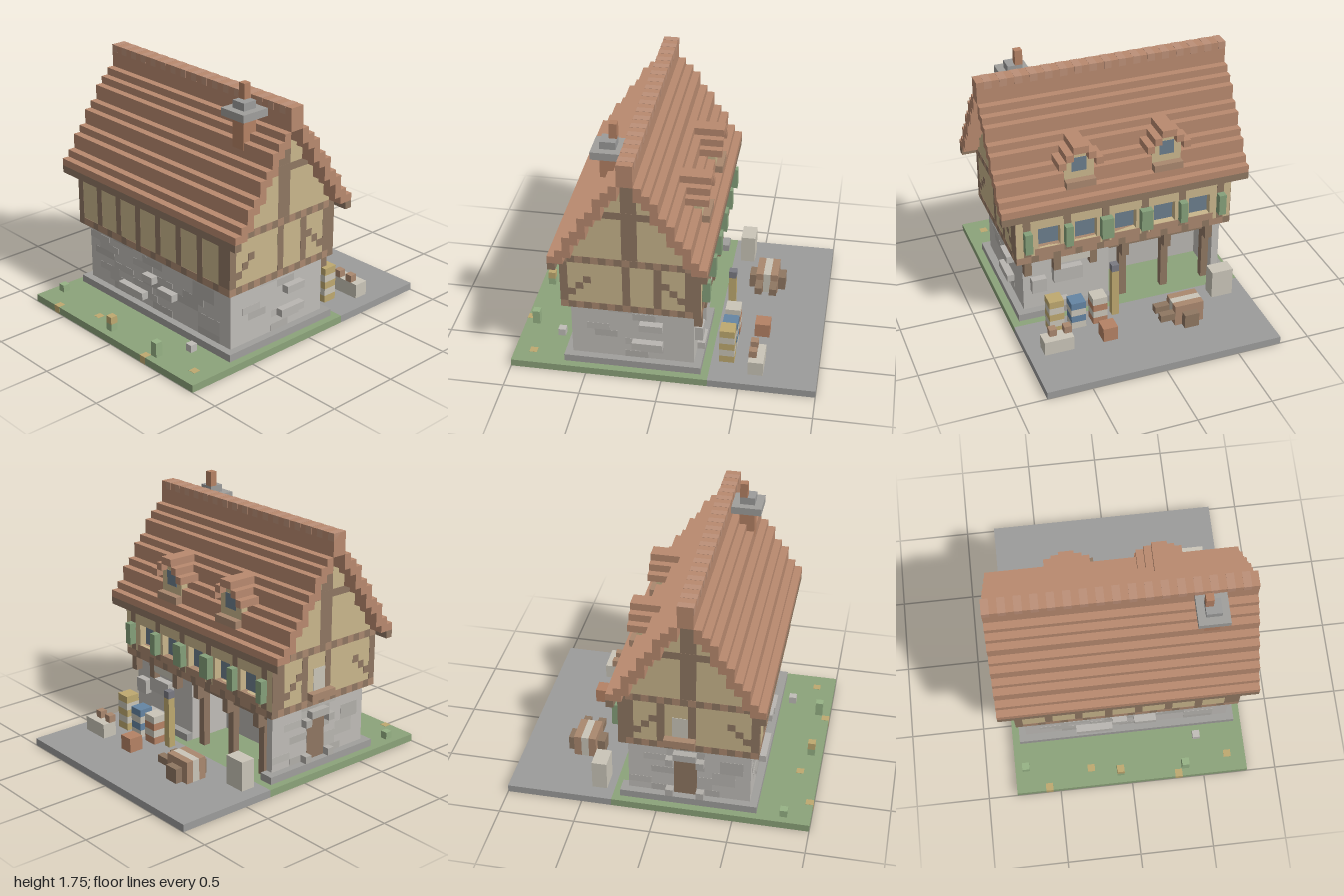
import * as THREE from 'three';

const C = {
  roof: 0xb98a6f, roofAlt: 0xbc9078, plaster: 0xc9b68c, beam: 0x8f7762, beamAlt: 0xaa886f,
  stone: 0xc0bdb8, stoneDark: 0xb2afaa, stoneMid: 0xb9b6b1, plinth: 0xa09f9c, paving: 0x9c9c9b,
  grass: 0x8ca37a, shutter: 0x85a07a, cream: 0xcac5b8, blue: 0x6585a3, ochre: 0xbea970,
  clay: 0xb58265, glass: 0x6b7d8c, iron: 0x7a7a82, leaf: 0x96b285
};
const mats = {};
const mat = c => (mats[c] ??= new THREE.MeshStandardMaterial({ color: C[c], flatShading: true, side: THREE.DoubleSide }));

export function createModel() {
  const root = new THREE.Group();
  root.name = 'cottage';
  let group = root;
  const part = name => {
    group = new THREE.Group();
    group.name = name;
    root.add(group);
  };
  // Axis-aligned block given by its limits; omit lists open faces (+x -x +y -y +z -z = 0..5)
  const box = (name, c, x0, x1, y0, y1, z0, z1, omit = []) => {
    const g = new THREE.BoxGeometry(x1 - x0, y1 - y0, z1 - z0);
    g.setIndex([...g.index.array].filter((_, i) => !omit.includes(Math.floor(i / 6))));
    g.clearGroups();
    const m = new THREE.Mesh(g, mat(c));
    m.position.set((x0 + x1) / 2, (y0 + y1) / 2, (z0 + z1) / 2);
    m.name = name;
    group.add(m);
  };
  let seed = 7;
  const rnd = () => (seed = (seed * 16807) % 2147483647) / 2147483647;
  const e = 0.0015; // thickness of flush surface patches

  // Ground: a shallow shell, open beneath the hollow house
  part('ground');
  box('paving', 'paving', -0.8, 0.8, 0, 0.05, -1, -0.3, [3, 4]);
  box('lawnFront', 'grass', -0.8, 0.8, 0, 0.05, 0.65, 1, [3, 5]);
  box('lawnBack', 'grass', -0.8, 0.8, 0, 0.05, -0.3, -0.25, [3, 4, 5]);
  box('passageFloor', 'grass', -0.65, 0.1, 0, 0.05, -0.25, 0.1, [0, 1, 3, 4, 5]);
  box('lawnLeft', 'grass', 0.75, 0.8, 0, 0.05, -0.25, 0.65, [1, 3, 4, 5]);
  box('lawnRight', 'grass', -0.8, -0.75, 0, 0.05, -0.25, 0.65, [0, 3, 4, 5]);
  for (const [x, z] of [[-0.6, 0.95], [-0.3, 0.85], [0.3, 0.95], [0.65, 0.85]])
    box('flowerPatch', 'ochre', x, x + 0.05, 0, 0.05 + e, z, z + 0.05 + (z > 0.9 ? e : 0), [3]);
  box('flowerStem', 'leaf', -0.1, -0.05, 0.05, 0.1, 0.9, 0.95);
  box('flowerHead', 'ochre', -0.1, -0.05, 0.1, 0.15, 0.9, 0.95);
  box('bush', 'leaf', 0.35, 0.4, 0.05, 0.15, 0.9, 0.95);
  box('bush', 'leaf', -0.75, -0.7, 0.05, 0.1, 0.8, 0.85);
  box('pebble', 'stone', 0.45, 0.5, 0.05, 0.1, 0.7, 0.75);

  // Stone ground floor with a recessed passage at the back
  part('groundFloor');
  box('frontWall', 'stone', -0.7, 0.7, 0.05, 0.5, 0.59, 0.6);
  for (const s of [-1, 1]) box('sideWall', 'stone', s * 0.695 - 0.005, s * 0.695 + 0.005, 0.05, 0.5, -0.2, 0.59);
  box('backWall', 'stone', 0.1, 0.69, 0.05, 0.5, -0.2, -0.19);
  box('backWallEnd', 'stone', -0.69, -0.65, 0.05, 0.5, -0.2, -0.19);
  box('passageSide', 'stone', 0.1, 0.11, 0.05, 0.5, -0.19, 0.1);
  box('passageSide', 'stone', -0.66, -0.65, 0.05, 0.5, -0.19, 0.1);
  box('passageBack', 'stoneMid', -0.65, 0.1, 0.05, 0.5, 0.1, 0.11);
  box('plinthFront', 'plinth', -0.75, 0.75, 0.05, 0.1, 0.6, 0.65, [3, 5]);
  box('plinthLeft', 'plinth', 0.7, 0.75, 0.05, 0.1, -0.25, 0.6, [1, 3, 4]);
  box('plinthRight', 'plinth', -0.75, -0.7, 0.05, 0.1, -0.25, 0.6, [0, 3, 4]);
  box('plinthBack', 'plinth', 0.1, 0.7, 0.05, 0.1, -0.25, -0.2, [3, 4]);
  box('plinthBack', 'plinth', -0.7, -0.65, 0.05, 0.1, -0.25, -0.2, [3, 4]);
  // Toned stones in the masonry
  for (let y = 0.1; y < 0.49; y += 0.05)
    for (let i = 0; i < 3; i++) {
      const c = rnd() < 0.5 ? 'stoneDark' : 'stoneMid';
      const x = -0.7 + 0.45 * i + 0.05 * Math.floor(rnd() * 6), z = -0.2 + 0.05 * Math.floor(rnd() * 13);
      box('tonedStone', c, x, x + 0.2, y, y + 0.05, 0.595, 0.6 + e);
      const s = i % 2 ? 1 : -1;
      box('tonedStone', c, s * 0.7 - e, s * 0.7 + e, y, y + 0.05, z, z + 0.15);
    }
  // Raised stones
  for (const [x0, x1, y] of [[-0.1, 0, 0.3], [0.05, 0.2, 0.25], [-0.35, -0.1, 0.15]])
    box('raisedStone', 'stoneMid', x0, x1, y, y + 0.05, 0.6, 0.65);
  box('raisedStone', 'stoneMid', 0.7, 0.75, 0.35, 0.4, 0, 0.15);
  box('raisedStone', 'stoneMid', 0.7, 0.75, 0.2, 0.25, 0, 0.2);
  box('raisedStone', 'stoneMid', 0.3, 0.5, 0.3, 0.4, -0.25, -0.2);
  box('raisedStone', 'stoneMid', 0.55, 0.65, 0.25, 0.35, -0.25, -0.2);
  box('raisedStone', 'stoneMid', 0.4, 0.55, 0.1, 0.15, -0.25, -0.2);
  // Side door with stone surround
  box('sideDoor', 'beam', -0.703, -0.69, 0.1, 0.4, 0.1, 0.25);
  box('doorLintel', 'stoneDark', -0.75, -0.7, 0.4, 0.45, 0.1, 0.25);
  for (const z of [0.05, 0.25]) {
    box('doorShoulder', 'stoneDark', -0.75, -0.7, 0.35, 0.4, z, z + 0.05);
    box('doorFoot', 'stoneDark', -0.75, -0.7, 0.1, 0.15, z, z + 0.05);
  }
  // Timber posts and brackets of the passage
  box('passageBeam', 'beam', -0.65, 0.1, 0.45, 0.5, -0.2, -0.15);
  for (const x of [0, -0.3, -0.6]) {
    box('passagePost', 'beam', x - 0.025, x + 0.025, 0.05, 0.5, -0.2, -0.15);
    box('bracket', 'beam', x - 0.025, x + 0.025, 0.4, 0.5, -0.25, -0.2);
  }
  for (const x of [0.2, 0.45, 0.65]) box('bracket', 'beam', x, x + 0.05, 0.4, 0.5, -0.25, -0.2);
  box('shopLintel', 'cream', 0.25, 0.45, 0.45, 0.5, -0.25, -0.2);

  // Half-timbered upper floor
  part('upperFloor');
  box('plasterBody', 'plaster', -0.75, 0.75, 0.5, 0.9, -0.2, 0.65, [2]);
  for (let i = 0; i < 8; i++)
    box('frontPost', 'beam', -0.75 + 0.2 * i, -0.7 + 0.2 * i, 0.55, 0.85, 0.64, 0.65 + e);
  box('cornerPost', 'beam', 0.7, 0.75, 0.55, 0.85, 0.6, 0.65 + e);
  for (let i = 0; i < 30; i++) {
    const x = -0.75 + 0.05 * i;
    box('frontSill', i % 3 ? 'beamAlt' : 'beam', x, x + 0.05, 0.5, 0.55, 0.64, 0.65 + e);
    box('backSill', i % 3 ? 'beamAlt' : 'beam', x, x + 0.05, 0.5, 0.55, -0.25 - e, -0.2);
  }
  for (const s of [-1, 1]) {
    const side = (name, c, y0, y1, z0, z1) =>
      box(name, c, s * 0.75 - e, s * 0.75 + e, y0, y1, z0, z1);
    for (let i = 0; i < 18; i++) {
      const z = -0.25 + 0.05 * i;
      for (const y of [0.5, 0.85]) side('sideRail', i % 2 ? 'beamAlt' : 'beam', y, y + 0.05, z, z + 0.05);
    }
    for (const [z0, z1] of [[0.6, 0.65], [0.2, 0.25], [0, 0.05], [-0.25, -0.15]]) side('sidePost', 'beam', 0.55, 0.85, z0, z1);
    for (let i = 0; i < 3; i++) {
      side('brace', 'beam', 0.6 + 0.05 * i, 0.65 + 0.05 * i, 0.55 - 0.05 * i, 0.6 - 0.05 * i);
      side('brace', 'beam', 0.6 + 0.05 * i, 0.65 + 0.05 * i, -0.15 + 0.05 * i, -0.1 + 0.05 * i);
    }
  }
  // Pale window and sill box on the right end
  box('endWindow', 'cream', -0.753, -0.74, 0.6, 0.75, 0.1, 0.2);
  box('endWindowBox', 'beamAlt', -0.8, -0.75, 0.55, 0.6, 0.05, 0.25);
  // Back wall: outer layer leaves the window openings
  box('backLower', 'plaster', -0.75, 0.75, 0.5, 0.6, -0.25, -0.2);
  box('backUpper', 'plaster', -0.75, 0.75, 0.75, 0.9, -0.25, -0.2);
  const windows = [-0.525, -0.275, 0, 0.275, 0.525];
  const edges = [-0.75, ...windows.flatMap(x => [x - 0.075, x + 0.075]), 0.75];
  for (let i = 0; i < edges.length; i += 2) {
    const [a, b] = [edges[i], edges[i + 1]], m = (a + b) / 2, w = i === 4 || i === 6 ? 0.04 : 0.025;
    box('backPier', 'plaster', a, b, 0.6, 0.75, -0.25, -0.2);
    box('backPost', 'beam', m - 0.025, m + 0.025, 0.55, 0.9, -0.25 - e, -0.22);
    box('shutter', 'shutter', m - w, m + w, 0.6, 0.75, -0.3, -0.25);
  }
  for (const x of windows) {
    box('windowPane', 'glass', x - 0.075, x + 0.075, 0.6, 0.75, -0.2 - e, -0.19);
    box('windowSill', 'beamAlt', x - 0.1, x + 0.1, 0.55, 0.6, -0.25 - 2 * e, -0.2);
  }

  // Stepped roof and gable fill, mirrored about the ridge at z = 0.2
  part('roof');
  const tops = [0.95, 1, 1.1, 1.15, 1.25, 1.3, 1.4, 1.45, 1.5];
  tops.forEach((top, i) => {
    const low = i ? tops[i - 1] - 0.05 : 0.9;
    for (const s of [-1, 1]) {
      const a = 0.2 + s * (0.5 - 0.05 * i), b = a - s * 0.05, z0 = Math.min(a, b), z1 = Math.max(a, b);
      box('roofRow', 'roof', -0.85, 0.85, low, top, z0, z1);
      if (i) box('gableFill', 'plaster', -0.75, 0.75, 0.88, low, z0, z1, [2, 3, 4, 5]);
      else box('eaveBoard', 'beam', -0.85, 0.85, 0.85, 0.9, z0, z1);
    }
  });
  box('ridge', 'roof', -0.85, 0.85, 1.5, 1.65, 0.15, 0.25);
  for (let i = 0; i < 17; i++) {
    const x = -0.85 + 0.1 * i;
    box('ridgeTile', 'roofAlt', x, x + 0.05, 1.6, 1.65 + e, 0.15 - e, 0.25 + e);
  }
  for (const s of [-1, 1]) {
    box('gablePost', 'beam', s * 0.745 - 0.005, s * 0.745 + 0.005, 0.9, 1.5, 0.15, 0.25);
    box('gableCollar', 'beam', s * 0.75 - e, s * 0.75 + e, 1.2, 1.25, -0.05, 0.45);
  }

  // Dormers on the back slope
  for (const x of [-0.3, 0.3]) {
    part('dormer');
    box('dormerFace', 'plaster', x - 0.1, x + 0.1, 1.05, 1.2, -0.2 - e, -0.05);
    box('dormerPeak', 'plaster', x - 0.05, x + 0.05, 1.2, 1.25, -0.2, 0);
    box('dormerWindow', 'glass', x - 0.05, x + 0.05, 1.1, 1.2, -0.2 - 2 * e, -0.19);
    box('dormerSill', 'beamAlt', x - 0.1, x + 0.1, 1.0, 1.05, -0.25, -0.2);
    box('dormerRidge', 'roof', x - 0.05, x + 0.05, 1.25, 1.3, -0.25, 0);
    for (const s of [-1, 1]) {
      box('dormerSlope', 'roof', x + s * 0.075 - 0.025, x + s * 0.075 + 0.025, 1.2, 1.25, -0.25, -0.05);
      box('dormerEave', 'roof', x + s * 0.125 - 0.025, x + s * 0.125 + 0.025, 1.15, 1.2, -0.25, -0.1);
    }
  }

  // Chimney
  part('chimney');
  box('chimneyShaft', 'clay', 0.5, 0.6, 1.35, 1.55, 0.3, 0.4 + e);
  box('chimneyCap', 'plinth', 0.45, 0.65, 1.55, 1.6, 0.25, 0.45);
  box('chimneyCollar', 'paving', 0.5, 0.6, 1.6, 1.65, 0.3, 0.4);
  box('chimneyPot', 'clay', 0.5, 0.55, 1.65, 1.75, 0.3, 0.35);

  // Goods in the yard
  part('yardGoods');
  for (const [x, a, b, n] of [[0.2, 'cream', 'clay', 4], [0.35, 'blue', 'cream', 4], [0.5, 'ochre', 'cream', 5]])
    for (let i = 0; i < n; i++) box('bandedBarrel', i % 2 === (n + 1) % 2 ? a : b, x, x + 0.1, 0.05 + 0.05 * i, 0.1 + 0.05 * i, -0.45, -0.35);
  box('lampPost', 'ochre', 0.1, 0.15, 0.05, 0.4, -0.4, -0.35);
  box('lamp', 'iron', 0.1, 0.15, 0.4, 0.45, -0.4, -0.35);
  box('tallCrate', 'cream', -0.7, -0.55, 0.05, 0.25, -0.45, -0.35);
  box('clayPot', 'clay', 0.2, 0.3, 0.05, 0.15, -0.65, -0.55);
  box('wideCrate', 'cream', 0.5, 0.7, 0.05, 0.15, -0.65, -0.55);
  for (const x of [0.5, 0.6]) box('smallPot', 'beamAlt', x, x + 0.05, 0.15, 0.2, -0.6, -0.55);

  // Handcart
  part('handcart');
  box('cartBed', 'cream', -0.4, -0.2, 0.05, 0.2, -0.6, -0.55);
  for (const z of [-0.65, -0.55]) {
    box('cartSide', 'beamAlt', -0.4, -0.2, 0.05, 0.2, z, z + 0.05);
    box('cartHandle', 'beam', -0.2, -0.1, 0.1, 0.15, z, z + 0.05);
  }
  for (const z of [-0.7, -0.5]) box('cartWheel', 'beam', -0.35, -0.25, 0.05, 0.15, z, z + 0.05);
  return root;
}
